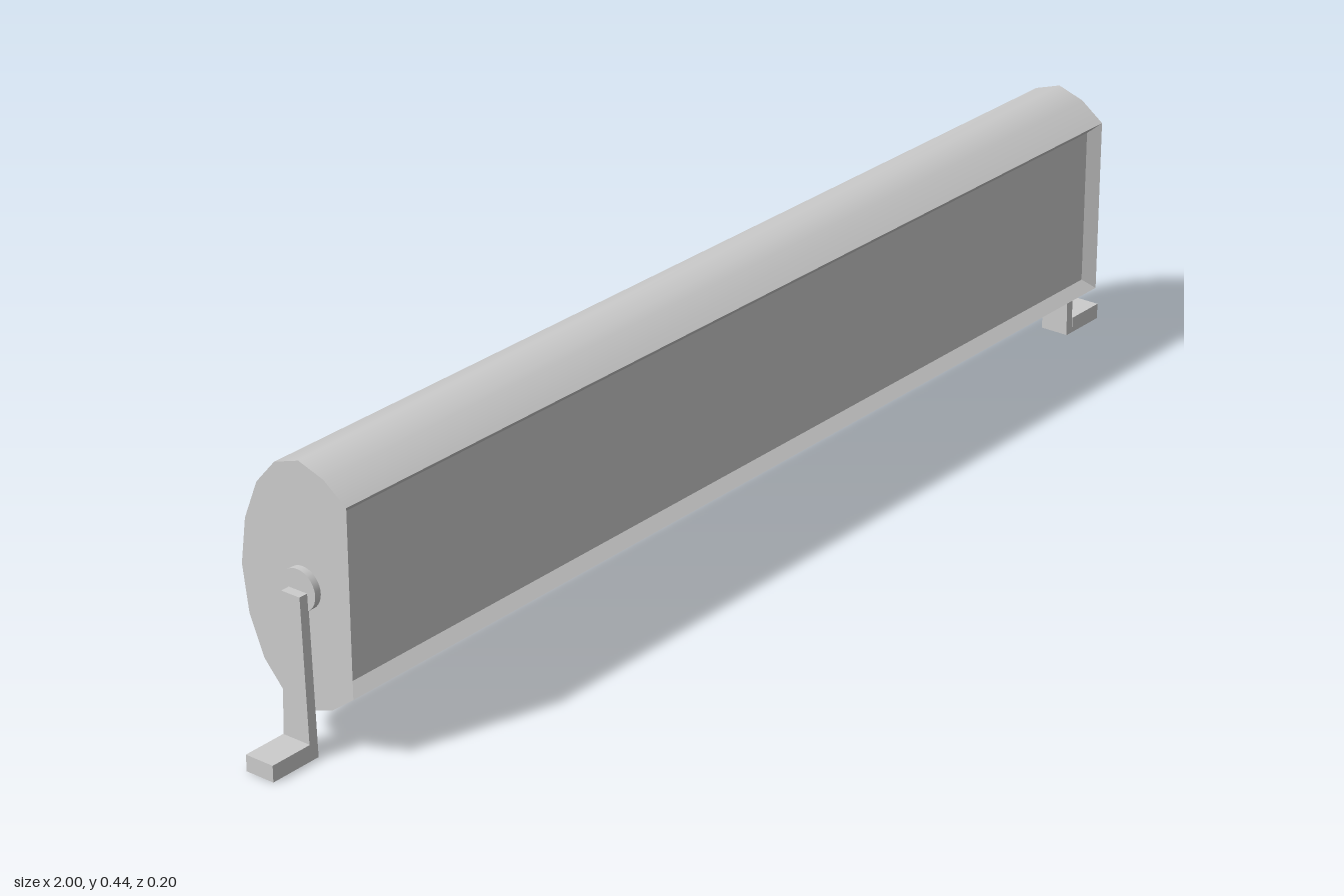
import * as THREE from 'three';
import { toCreasedNormals } from 'three/addons/utils/BufferGeometryUtils.js';

const material = new THREE.MeshStandardMaterial({ color: 0xcccccc });
const HALF = 0.9, AXIS_Y = 0.25, AXIS_Z = 0.015;

// Collects [x, y, z] corners into triangles, counter-clockwise from outside
function facesToGeometry(faces) {
  const pos = [];
  for (const f of faces)
    for (let i = 1; i < f.length - 1; i++) pos.push(...f[0], ...f[i], ...f[i + 1]);
  const g = new THREE.BufferGeometry();
  g.setAttribute('position', new THREE.Float32BufferAttribute(pos, 3));
  return g;
}

function addMesh(parent, name, geometry) {
  const m = new THREE.Mesh(geometry, material);
  m.name = name;
  parent.add(m);
  return m;
}

export function createModel() {
  const model = new THREE.Group();
  model.name = 'lightBar';

  // Housing section as [z, y], from the upper front lip over the back to the lower lip
  const upper = [[0.1, 0.395], [0.06, 0.425], [0.015, 0.44], [-0.03, 0.425],
    [-0.065, 0.385], [-0.09, 0.323], [-0.1, AXIS_Y]];
  const lower = upper.slice(0, -1).reverse().map(([z, y]) => [z, 2 * AXIS_Y - y]);
  const section = [...upper, ...lower];
  const ring = (x) => section.map(([z, y]) => [x, y, z]);
  const left = ring(HALF), right = ring(-HALF);

  // Curved shell and flat end caps
  const faces = [[...left].reverse(), right];
  for (let i = 0; i < section.length - 1; i++)
    faces.push([right[i], left[i], left[i + 1], right[i + 1]]);

  // Sloped frame leading in to the recessed front panel
  const rect = (hx, hy, z) => [[-hx, -hy], [hx, -hy], [hx, hy], [-hx, hy]]
    .map(([x, y]) => [x, AXIS_Y + y, z]);
  const outer = rect(HALF, 0.145, 0.1), inner = rect(0.883, 0.129, 0.083);
  for (let i = 0; i < 4; i++) {
    const j = (i + 1) % 4;
    faces.push([outer[i], outer[j], inner[j], inner[i]]);
  }
  const shell = facesToGeometry(faces);
  addMesh(model, 'housing', toCreasedNormals(shell, 0.75));
  const panel = facesToGeometry([inner]);
  panel.computeVertexNormals();
  addMesh(model, 'frontPanel', panel);

  // Mounting bracket at each end: pivot, tapered upright and foot
  const upright = new THREE.Shape([[-0.025, 0], [0.025, 0], [0.017, AXIS_Y], [-0.017, AXIS_Y]]
    .map(([x, y]) => new THREE.Vector2(x, y)));
  for (const side of [1, -1]) {
    const bracket = new THREE.Group();
    bracket.name = side > 0 ? 'leftBracket' : 'rightBracket';
    bracket.position.z = AXIS_Z;
    if (side < 0) bracket.rotation.y = Math.PI;
    model.add(bracket);

    const pivot = addMesh(bracket, 'pivot', new THREE.CylinderGeometry(0.032, 0.032, 0.012, 32));
    pivot.rotation.z = Math.PI / 2;
    pivot.position.set(0.905, AXIS_Y, 0);

    const post = addMesh(bracket, 'upright',
      new THREE.ExtrudeGeometry(upright, { depth: 0.016, bevelEnabled: false }));
    post.rotation.y = Math.PI / 2;
    post.position.x = 0.91;

    const foot = addMesh(bracket, 'foot', new THREE.BoxGeometry(0.074, 0.026, 0.05));
    foot.position.set(0.963, 0.013, 0);
  }
  return model;
}
